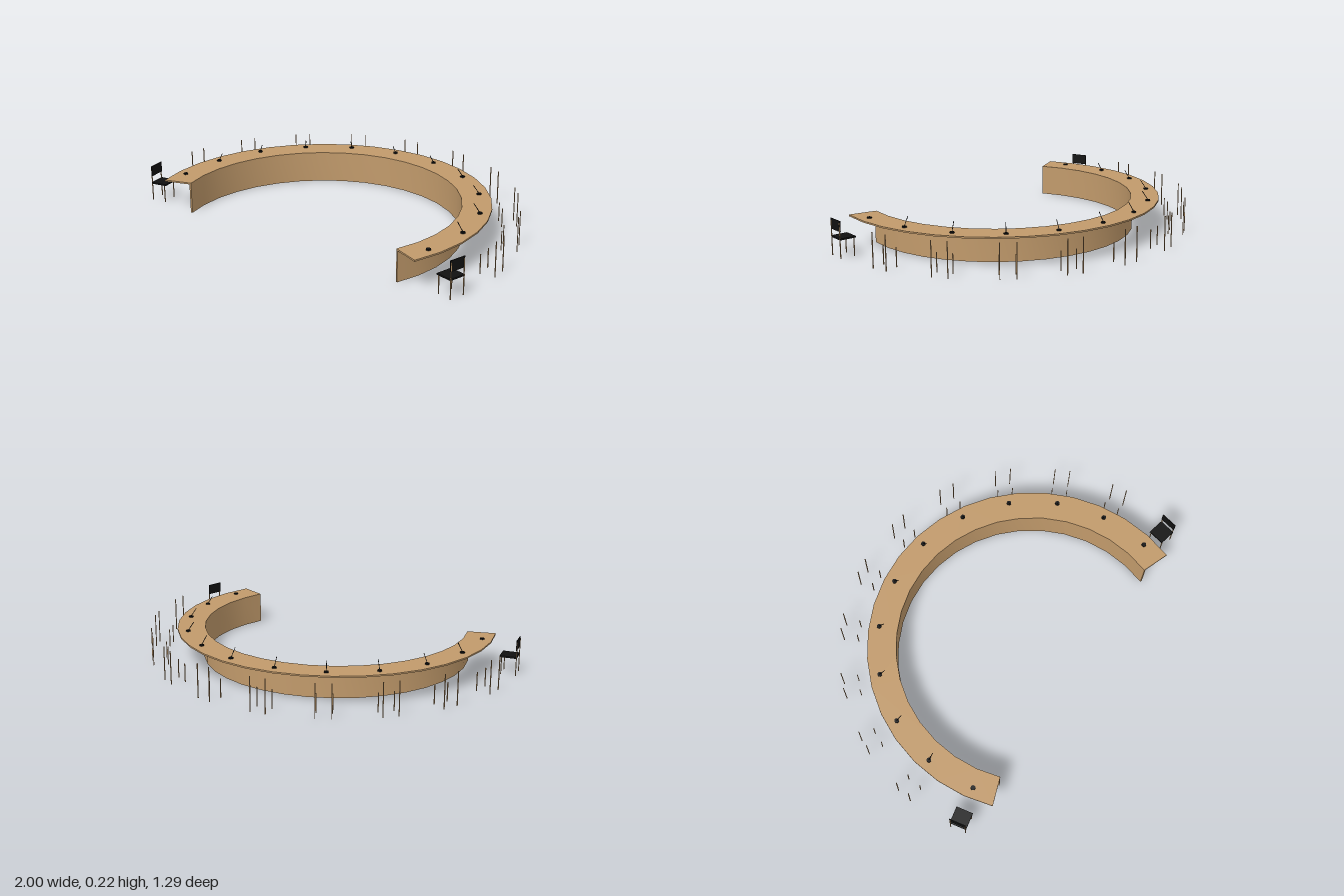
import * as THREE from 'three';
import { toCreasedNormals } from 'three/addons/utils/BufferGeometryUtils.js';

const CENTRE_Z = 0.35;
const SEATS = 12;
const STEP = THREE.MathUtils.degToRad(18.5);

function material(name, color) {
  const m = new THREE.MeshStandardMaterial({ color });
  m.name = name;
  return m;
}

// Upright ring segment of 220 degrees, open towards +z, in 10 degree facets
function arcSlab(inner, outer, y0, y1) {
  const pts = [];
  const at = (r, deg) => {
    const a = THREE.MathUtils.degToRad(deg);
    return new THREE.Vector2(r * Math.cos(a), r * Math.sin(a));
  };
  for (let d = -20; d <= 200; d += 10) pts.push(at(outer, d));
  for (let d = 200; d >= -20; d -= 10) pts.push(at(inner, d));
  const g = new THREE.ExtrudeGeometry(new THREE.Shape(pts), { depth: y1 - y0, bevelEnabled: false });
  g.rotateX(-Math.PI / 2);
  g.translate(0, y0, 0);
  return toCreasedNormals(g, 0.5);
}

export function createModel() {
  const model = new THREE.Group();
  model.name = 'curvedConferenceDesk';
  const wood = material('wood', 0xc19a6b);
  const black = material('black', 0x111111);

  const ring = new THREE.Group();
  ring.name = 'ring';
  ring.position.z = CENTRE_Z;
  model.add(ring);

  const add = (parent, name, geometry, mat, x = 0, y = 0, z = 0) => {
    const mesh = new THREE.Mesh(geometry, mat);
    mesh.name = name;
    mesh.position.set(x, y, z);
    parent.add(mesh);
    return mesh;
  };

  // Desk: thin top and the inner modesty panel
  add(ring, 'deskTop', arcSlab(0.711, 0.86, 0.157, 0.165), wood);
  add(ring, 'deskPanel', arcSlab(0.711, 0.72, 0, 0.157), wood);

  const micBase = new THREE.CylinderGeometry(0.012, 0.012, 0.006, 12);
  const micStem = new THREE.TubeGeometry(
    new THREE.LineCurve3(new THREE.Vector3(0, 0.17, -0.806), new THREE.Vector3(0, 0.215, -0.776)),
    1, 0.0018, 6);
  const frontLeg = new THREE.BoxGeometry(0.004, 0.1, 0.004);
  const backLeg = new THREE.BoxGeometry(0.004, 0.18, 0.004);
  const seat = new THREE.BoxGeometry(0.088, 0.008, 0.088);
  const backrest = new THREE.BoxGeometry(0.088, 0.055, 0.004);

  // Places around the arc; local -z points outwards
  for (let i = 0; i < SEATS; i++) {
    const isEnd = i === 0 || i === SEATS - 1;
    const place = new THREE.Group();
    place.name = 'place' + (i + 1);
    place.rotation.y = -(i - (SEATS - 1) / 2) * STEP;
    ring.add(place);

    // Microphone
    add(place, 'microphoneBase', micBase, black, 0, 0.168, -0.806);
    if (!isEnd) add(place, 'microphoneStem', micStem, black);

    // Chair frame
    for (const side of [-1, 1]) {
      add(place, 'frontLeg', frontLeg, wood, side * 0.04, 0.05, -0.921);
      add(place, 'backLeg', backLeg, wood, side * 0.04, 0.09, -0.998);
    }
    // Seat and backrest on the end chairs only
    if (isEnd) {
      add(place, 'seat', seat, black, 0, 0.097, -0.955);
      add(place, 'backrest', backrest, black, 0, 0.1625, -0.996);
    }
  }
  return model;
}
